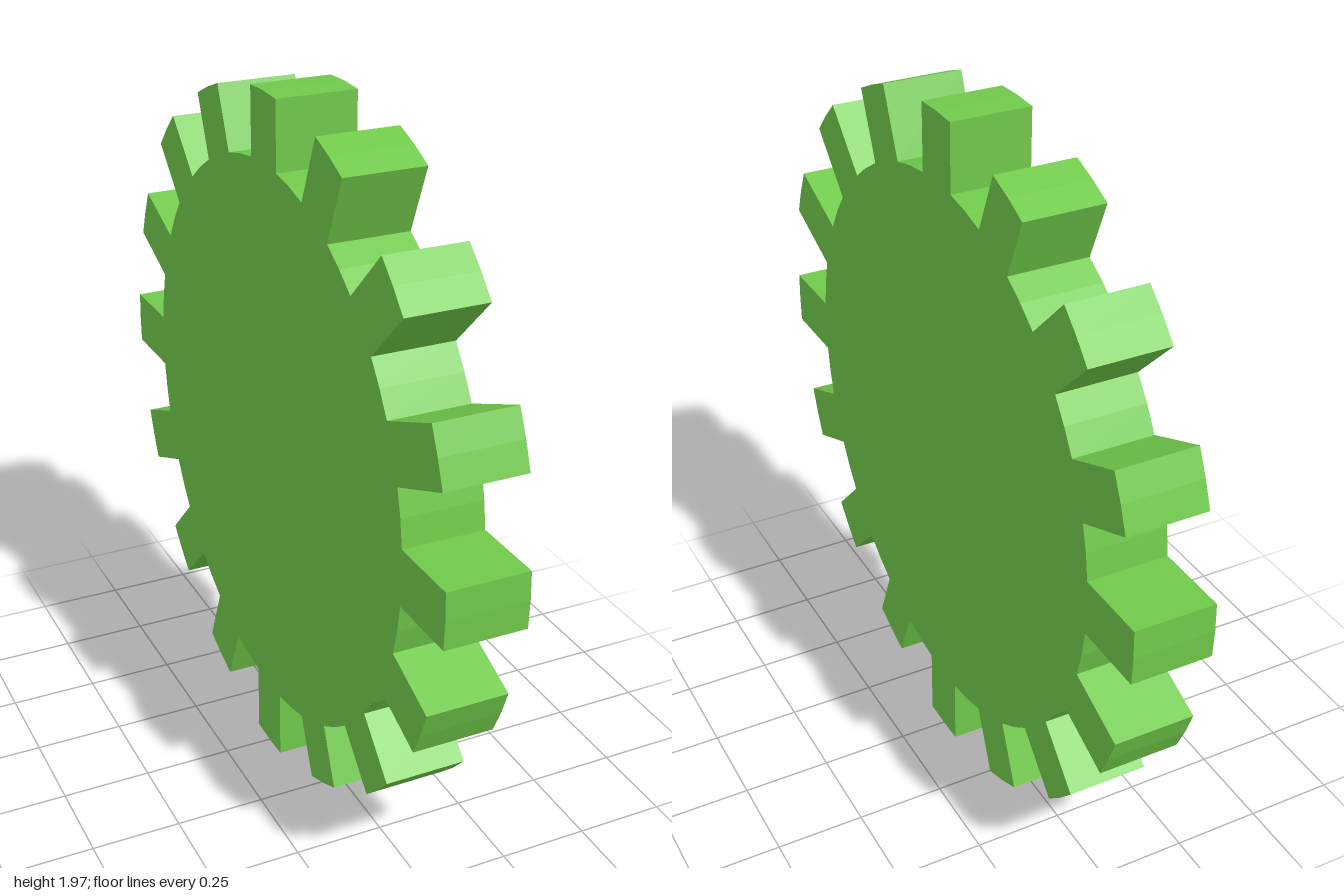
import * as THREE from 'three';

export function createModel() {
  const group = new THREE.Group();
  const centreY = 0.99, bodyRadius = 0.79, halfTooth = 0.078, thickness = 0.225;

  // Tip radius of each tooth, anticlockwise from -z; the teeth are slightly uneven
  const tips = [1, 0.987, 0.985, 0.972, 0.978, 0.99, 1.004, 1.015,
    1, 0.98, 0.976, 0.965, 0.99, 0.984, 0.987, 0.994];
  const step = (Math.PI * 2) / tips.length;

  // Outline: parallel-sided teeth with arced tips and rounded valleys
  const points = [];
  const add = (radius, angle) =>
    points.push(new THREE.Vector2(radius * Math.cos(angle), radius * Math.sin(angle)));
  tips.forEach((tip, i) => {
    const a = i * step;
    const root = Math.asin(halfTooth / bodyRadius), end = Math.asin(halfTooth / tip);
    add(bodyRadius, a - root);
    add(tip, a - end);
    add(tip, a);
    add(tip, a + end);
    add(bodyRadius, a + root);
    add(bodyRadius, a + step / 2);
  });

  // Extruded wheel, turned so its axle runs along x
  const geometry = new THREE.ExtrudeGeometry(new THREE.Shape(points), {
    depth: thickness, bevelEnabled: false,
  });
  geometry.translate(0, 0, -thickness / 2);
  geometry.rotateY(Math.PI / 2);

  const gear = new THREE.Mesh(geometry, new THREE.MeshStandardMaterial({ color: 0x70c84a }));
  gear.name = 'gearWheel';
  gear.position.y = centreY;
  group.add(gear);
  return group;
}
